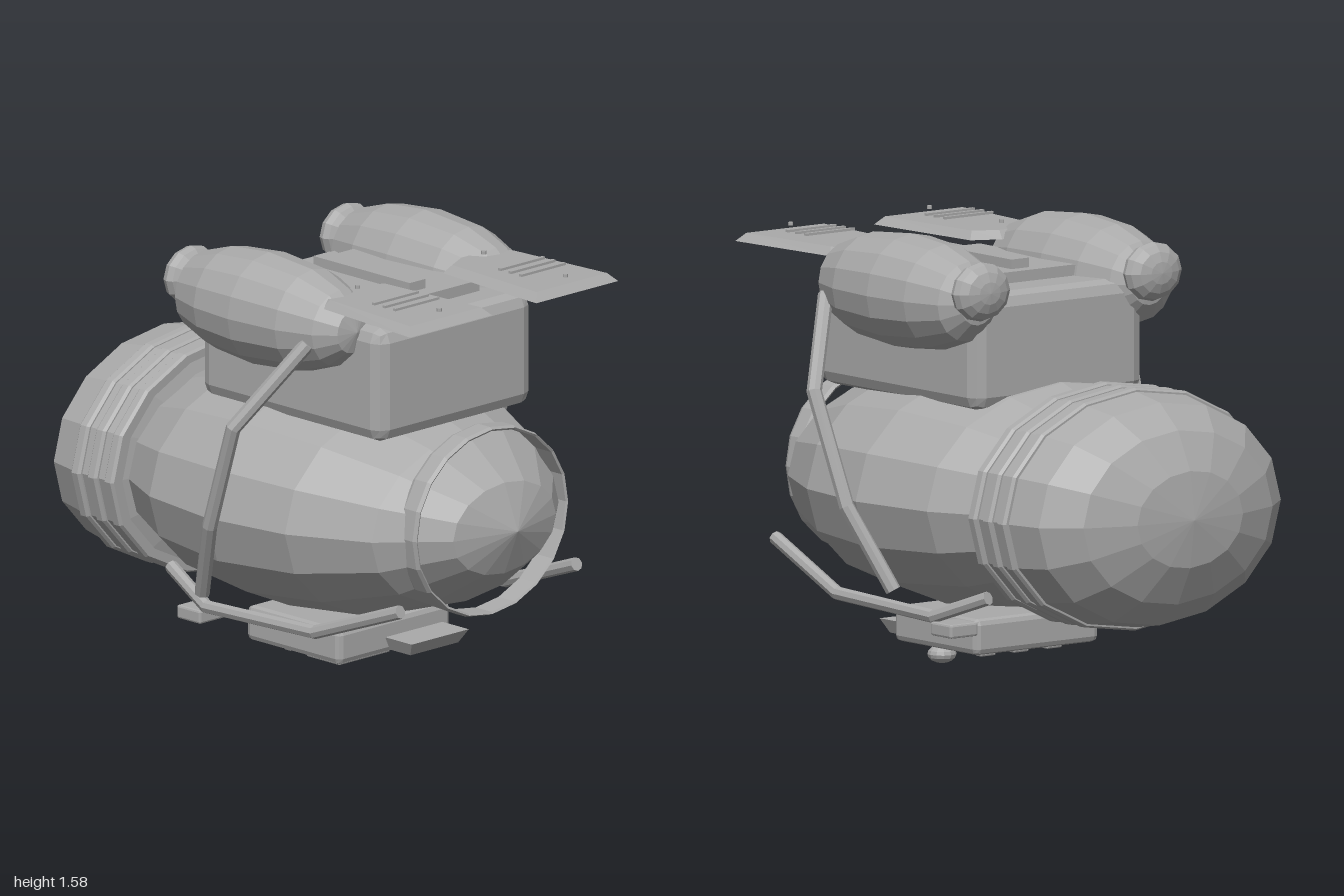
import * as THREE from 'three';
import { RoundedBoxGeometry } from 'three/addons/geometries/RoundedBoxGeometry.js';

// Piecewise-linear path with mitred corners; one tube segment per leg
class BentPath extends THREE.Curve {
  constructor(points) {
    super();
    this.points = points.map((p) => new THREE.Vector3(...p));
  }
  getPoint(t, target = new THREE.Vector3()) {
    const n = this.points.length - 1;
    const i = Math.min(Math.floor(t * n + 1e-6), n - 1);
    return target.lerpVectors(this.points[i], this.points[i + 1], t * n - i);
  }
  getPointAt(t, target) {
    return this.getPoint(t, target);
  }
  getTangentAt(t, target = new THREE.Vector3()) {
    const p = this.points, n = p.length - 1, i = Math.round(t * n);
    target.set(0, 0, 0);
    if (i > 0) target.add(p[i].clone().sub(p[i - 1]).normalize());
    if (i < n) target.add(p[i + 1].clone().sub(p[i]).normalize());
    return target.normalize();
  }
}

export function createModel() {
  const model = new THREE.Group();
  model.name = 'propulsionPack';
  const grey = new THREE.MeshStandardMaterial({ color: 0xaaaaaa, flatShading: true, side: THREE.DoubleSide });
  grey.name = 'hull grey';

  const add = (name, geometry, x = 0, y = 0, z = 0, parent = model) => {
    const mesh = new THREE.Mesh(geometry, grey);
    mesh.name = name;
    mesh.position.set(x, y, z);
    parent.add(mesh);
    return mesh;
  };
  const rounded = (w, h, d, r) => new RoundedBoxGeometry(w, h, d, 1, r);
  // Profile of [radius, z] pairs, back to front, turned about the z axis
  const turned = (profile, sides, flatten = 1) =>
    new THREE.LatheGeometry(profile.map(([r, z]) => new THREE.Vector2(r, z)), sides)
      .rotateX(Math.PI / 2).scale(1, flatten, 1);
  // Bent rod with closed ends
  const rod = (name, points, radius) => {
    const group = new THREE.Group();
    group.name = name;
    const path = new BentPath(points);
    add(name + 'Tube', new THREE.TubeGeometry(path, points.length - 1, radius, 8, false), 0, 0, 0, group);
    for (const t of [0, 1]) {
      const p = path.getPointAt(t), dir = path.getTangentAt(t).multiplyScalar(t ? 1 : -1);
      const cap = add(name + 'Cap', new THREE.CircleGeometry(radius, 8), p.x, p.y, p.z, group);
      cap.lookAt(p.clone().add(dir));
    }
    model.add(group);
  };

  // Main hull and rear dome
  const midY = 0.64;
  add('hull', new THREE.SphereGeometry(1, 16, 8).rotateX(Math.PI / 2).scale(0.67, 0.44, 0.9), 0, midY, 0.1);
  add('rearDome', turned([[0, -1], [0.24, -0.975], [0.43, -0.905], [0.55, -0.8], [0.585, -0.65],
    [0.585, -0.47], [0.48, -0.45]], 16, 0.73), 0, midY, 0);
  for (const z of [-0.475, -0.56, -0.643]) {
    add('rearBand', turned([[0.55, -0.024], [0.592, -0.024], [0.602, -0.014], [0.602, 0.014],
      [0.592, 0.024], [0.55, 0.024]], 16, 0.727), 0, midY, z);
  }

  // Thin hoop around the nose
  add('noseHoop', turned([[0.37, -0.04], [0.378, -0.045], [0.385, -0.03], [0.385, 0.03], [0.378, 0.045],
    [0.37, 0.04], [0.37, -0.04]], 20, 0.905), 0, 0.65, 0.825);

  // Upper housing with its top plate and spine
  add('upperHousing', rounded(0.77, 0.42, 0.92, 0.05), 0, 1.18, 0.23);
  add('topPlate', new THREE.BoxGeometry(0.5, 0.05, 0.6), 0, 1.405, 0.25);
  add('topSpine', new THREE.BoxGeometry(0.08, 0.035, 0.49), 0, 1.447, 0.245);

  for (const s of [-1, 1]) {
    const side = s > 0 ? 'left' : 'right';

    // Upper pod and its rear cap
    add(side + 'Pod', turned([[0, -0.26], [0.08, -0.25], [0.145, -0.2], [0.19, -0.06], [0.207, 0.13],
      [0.188, 0.35], [0.14, 0.49], [0.08, 0.56], [0, 0.58]], 16), s * 0.39, 1.37, 0);
    add(side + 'PodCap', new THREE.SphereGeometry(1, 12, 8).rotateX(Math.PI / 2).scale(0.125, 0.107, 0.06),
      s * 0.39, 1.413, -0.265);

    // Forward fin: plate with sloping edges
    const outline = [[0.52, 0.98], [0.11, 0.98], [0.145, 0.47], [0.25, 0.42], [0.455, 0.42], [0.48, 0.49]];
    const shape = new THREE.Shape(outline.map(([x, z]) => new THREE.Vector2(s * (x - 0.315), 0.7 - z)));
    const fin = new THREE.ExtrudeGeometry(shape, { depth: 0.03, bevelEnabled: false }).rotateX(-Math.PI / 2);
    const pos = fin.attributes.position;
    for (let i = 0; i < pos.count; i++) {
      if (pos.getY(i) > 0.01) pos.setXYZ(i, pos.getX(i) * 0.86, pos.getY(i), pos.getZ(i) * 0.9);
    }
    add(side + 'Fin', fin, s * 0.315, 1.46, 0.7);
    for (const z of [0.697, 0.75, 0.803]) {
      add(side + 'FinSlat', new THREE.BoxGeometry(0.22, 0.009, 0.014), s * 0.315, 1.508, z);
    }
    for (const z of [0.505, 0.92]) {
      add(side + 'FinBolt', new THREE.CylinderGeometry(0.009, 0.009, 0.012, 8), s * 0.315, 1.51, z);
    }

    // Long side strut and lower skid
    rod(side + 'Strut', [[s * 0.52, 1.33, 0.46], [s * 0.715, 1.02, 0.28], [s * 0.685, 0.62, 0.13],
      [s * 0.585, 0.325, -0.01]], 0.028);
    rod(side + 'Skid', [[s * 0.44, 0.4, 0.85], [s * 0.475, 0.25, 0.45], [s * 0.475, 0.232, -0.1],
      [s * 0.415, 0.32, -0.34]], 0.025);
    add(side + 'SkidBlock', rounded(0.125, 0.05, 0.12, 0.008), s * 0.435, 0.192, -0.17);
  }

  // Control box under the hull
  add('controlBox', rounded(0.56, 0.13, 0.475, 0.022), 0, 0.134, 0.138);
  const tray = new THREE.BoxGeometry(0.285, 0.05, 0.16);
  const tp = tray.attributes.position;
  for (let i = 0; i < tp.count; i++) {
    if (tp.getY(i) < 0) tp.setXYZ(i, tp.getX(i) * 0.84, tp.getY(i), Math.min(tp.getZ(i), 0.05));
  }
  add('frontTray', tray, 0.093, 0.105, 0.43);
  add('lowerPlate', rounded(0.255, 0.03, 0.17, 0.006), -0.077, 0.055, 0.215);
  for (const x of [0.13, -0.02, -0.17]) {
    add('button', rounded(0.07, 0.03, 0.035, 0.006), x, 0.057, 0.035);
  }
  add('knobStem', new THREE.CylinderGeometry(0.025, 0.025, 0.04, 10), 0.19, 0.06, 0.21);
  add('knob', new THREE.SphereGeometry(1, 12, 8).scale(0.053, 0.033, 0.053), 0.19, 0.034, 0.21);

  return model;
}
